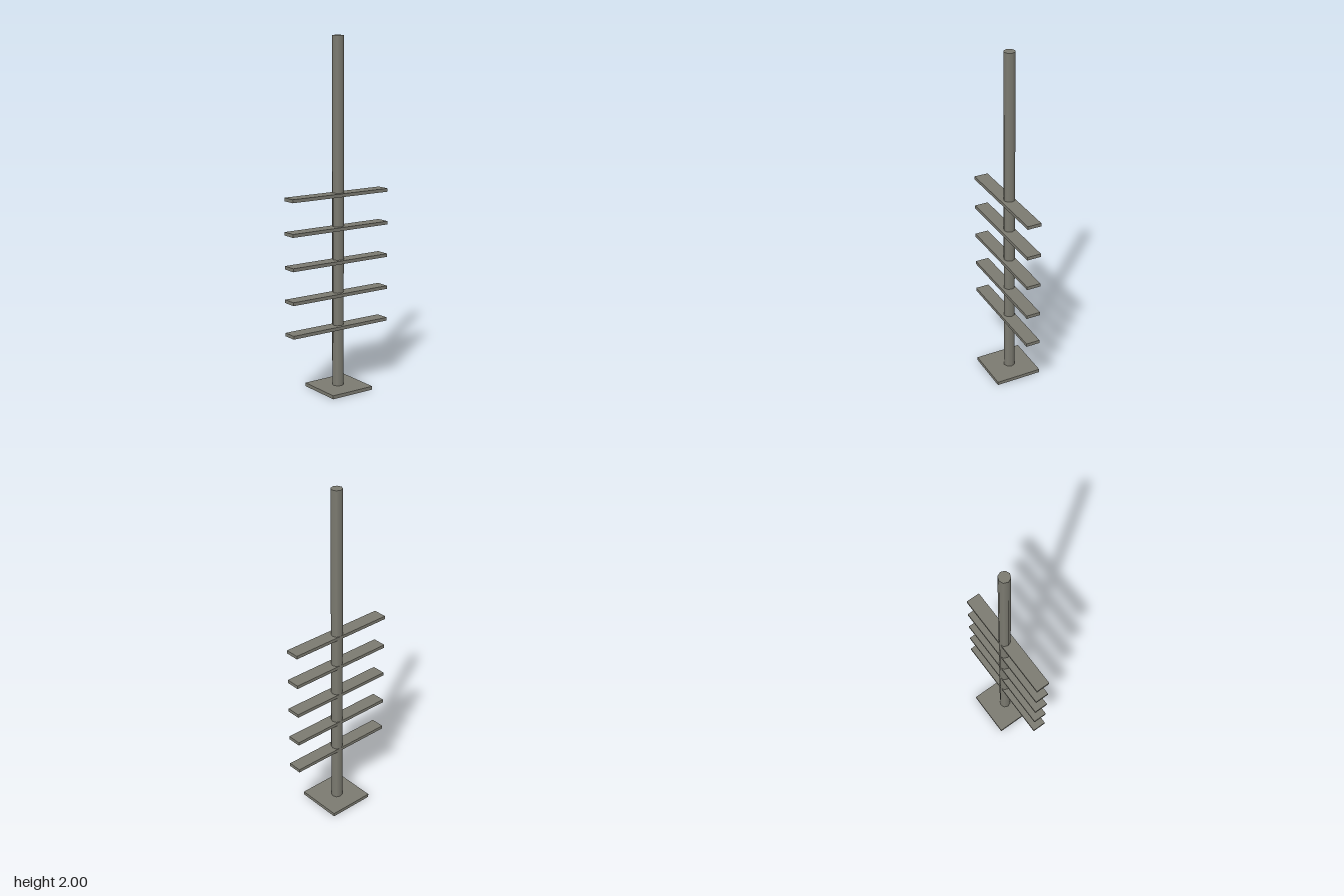
import * as THREE from 'three';

export function createModel() {
  const model = new THREE.Group();
  const metal = new THREE.MeshStandardMaterial({ color: 0x7b7a70 });
  metal.name = 'dull grey metal';

  const add = (name, geometry, x, y, z) => {
    const mesh = new THREE.Mesh(geometry, metal);
    mesh.name = name;
    mesh.position.set(x, y, z);
    model.add(mesh);
  };

  // Square foot plate with the eight-sided pole at its centre
  const baseHeight = 0.02;
  add('basePlate', new THREE.BoxGeometry(0.274, baseHeight, 0.274), 0.012, baseHeight / 2, -0.002);
  add('pole', new THREE.CylinderGeometry(0.033, 0.033, 2, 8), 0.012, 1, -0.009);

  // Five evenly spaced crossbars
  const bar = new THREE.BoxGeometry(0.648, 0.019, 0.082);
  for (let i = 0; i < 5; i++) {
    add(`crossbar${i + 1}`, bar, 0, 0.367 + i * 0.1897, 0.001);
  }

  return model;
}
